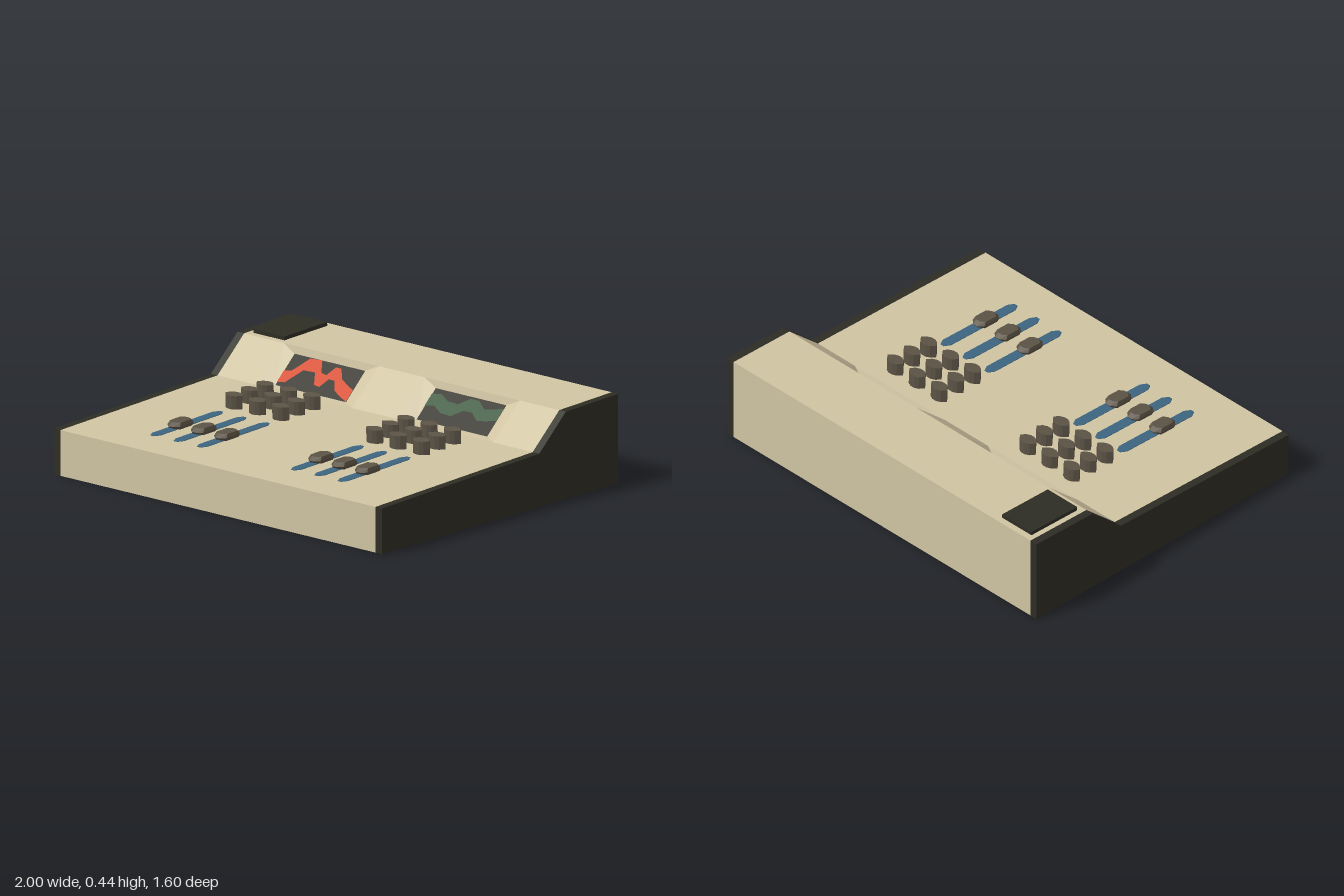
import * as THREE from 'three';
import { ConvexGeometry } from 'three/addons/geometries/ConvexGeometry.js';

const mat = (name, color, side = THREE.FrontSide) => {
  const m = new THREE.MeshStandardMaterial({ color, side, flatShading: true });
  m.name = name;
  return m;
};

// Side profile heights and depths
const FRONT = 0.8, BACK = -0.8, KNEE = -0.265, CREST = -0.445;
const Y_FRONT = 0.215, Y_KNEE = 0.25, Y_CREST = 0.41, Y_BACK = 0.42;
const INNER = 0.96;
const deckY = (z) => Y_FRONT + ((FRONT - z) / (FRONT - KNEE)) * (Y_KNEE - Y_FRONT);
const deckTilt = Math.atan((Y_KNEE - Y_FRONT) / (FRONT - KNEE));
const topTilt = Math.atan((Y_BACK - Y_CREST) / (CREST - BACK));

// Screen bays: outer opening on the slope, inner sunken rectangle
const BAY_X = 0.43, OUT = 0.29, IN = 0.215;
const S_LOW = { y: 0.255, z: -0.307 }, S_HIGH = { y: 0.375, z: -0.437 };

// Counter-clockwise quads to one flat geometry
function quads(list) {
  const pos = [];
  for (const [a, b, c, d] of list) pos.push(...a, ...b, ...c, ...a, ...c, ...d);
  const g = new THREE.BufferGeometry();
  g.setAttribute('position', new THREE.Float32BufferAttribute(pos, 3));
  g.computeVertexNormals();
  return g;
}

// Band spanning x0..x1 between a lower and an upper edge (y, z)
const band = (x0, x1, lo, hi) => [
  [x0, lo[0], lo[1]], [x1, lo[0], lo[1]], [x1, hi[0], hi[1]], [x0, hi[0], hi[1]],
];

function bodyGeometry() {
  const knee = [Y_KNEE, KNEE], crest = [Y_CREST, CREST];
  const list = [
    band(-INNER, INNER, [0, FRONT], [Y_FRONT, FRONT]),
    band(-INNER, INNER, [Y_FRONT, FRONT], knee),
    band(-INNER, INNER, crest, [Y_BACK, BACK]),
    band(-INNER, INNER, [Y_BACK, BACK], [0, BACK]),
    band(-INNER, INNER, [0, BACK], [0, FRONT]),
    band(-INNER, -BAY_X - OUT, knee, crest),
    band(-BAY_X + OUT, BAY_X - OUT, knee, crest),
    band(BAY_X + OUT, INNER, knee, crest),
  ];
  // Four sloping walls around each sunken screen
  for (const cx of [-BAY_X, BAY_X]) {
    const o = [[cx - OUT, ...knee], [cx + OUT, ...knee], [cx + OUT, ...crest], [cx - OUT, ...crest]];
    const i = [
      [cx - IN, S_LOW.y, S_LOW.z], [cx + IN, S_LOW.y, S_LOW.z],
      [cx + IN, S_HIGH.y, S_HIGH.z], [cx - IN, S_HIGH.y, S_HIGH.z],
    ];
    for (let k = 0; k < 4; k++) list.push([o[k], o[(k + 1) % 4], i[(k + 1) % 4], i[k]]);
  }
  return quads(list);
}

// Point on a screen: u across, s up, raised slightly along its normal
function onScreen(cx, u, s, lift) {
  return [
    cx - IN + u * 2 * IN,
    S_LOW.y + s * (S_HIGH.y - S_LOW.y) + lift * 0.73,
    S_LOW.z + s * (S_HIGH.z - S_LOW.z) + lift * 0.68,
  ];
}

// Wavy trace of constant height across a screen
function traceGeometry(cx, points, half) {
  const list = [];
  for (let k = 0; k < points.length - 1; k++) {
    const [[u0, s0], [u1, s1]] = [points[k], points[k + 1]];
    const p = (u, s) => onScreen(cx, u, Math.min(1, Math.max(0, s)), 0.003);
    list.push([p(u0, s0 - half), p(u1, s1 - half), p(u1, s1 + half), p(u0, s0 + half)]);
  }
  return quads(list);
}

// Outline in x/z extruded upwards
function upright(points, height) {
  const shape = new THREE.Shape(points.map(([x, z]) => new THREE.Vector2(x, -z)));
  return new THREE.ExtrudeGeometry(shape, { depth: height, bevelEnabled: false }).rotateX(-Math.PI / 2);
}

// Mirror a quarter outline into points on all four sides
const quarter = (pts) => pts.flatMap(([x, z]) => [[x, z], [-x, z], [-x, -z], [x, -z]]);

export function createModel() {
  const beige = mat('beige casing', 0xd0c4a2);
  const dark = mat('dark trim', 0x2e2d24);
  const brown = mat('brown caps', 0x5c5346);
  const blue = mat('blue tracks', 0x3d6580);
  const red = mat('red trace', 0xd64a26, THREE.DoubleSide);
  const green = mat('green trace', 0x3a5a3e, THREE.DoubleSide);

  const model = new THREE.Group();
  model.name = 'mixingConsole';
  const add = (name, geometry, material, x = 0, y = 0, z = 0, tilt = 0) => {
    const mesh = new THREE.Mesh(geometry, material);
    mesh.name = name;
    mesh.position.set(x, y, z);
    mesh.rotation.x = tilt;
    model.add(mesh);
    return mesh;
  };

  add('casing', bodyGeometry(), beige);

  // Side panels follow the casing profile
  const profile = new THREE.Shape([
    [-FRONT, 0], [-BACK, 0], [-BACK, Y_BACK], [-CREST, Y_CREST], [-KNEE, Y_KNEE], [-FRONT, Y_FRONT],
  ].map(([x, y]) => new THREE.Vector2(x, y)));
  const panel = new THREE.ExtrudeGeometry(profile, { depth: 1 - INNER, bevelEnabled: false }).rotateY(Math.PI / 2);
  add('rightPanel', panel, dark, -1);
  add('leftPanel', panel, dark, INNER);

  // Plate on the rear shelf
  add('rearPlate', new THREE.BoxGeometry(0.19, 0.02, 0.29), dark, -0.838, 0.423, -0.622, topTilt);

  // Screens with their traces
  const redWave = [[0, 0.27], [0.1, 0.32], [0.24, 0.78], [0.4, 0.8], [0.48, 0.45], [0.56, 0.42],
    [0.62, 0.7], [0.7, 0.7], [0.78, 0.42], [0.88, 0.3], [1, 0.18]];
  const greenWave = [[0, 0.62], [0.12, 0.68], [0.25, 0.52], [0.4, 0.5], [0.52, 0.74], [0.64, 0.74],
    [0.76, 0.54], [0.88, 0.6], [1, 0.68]];
  for (const [side, cx, wave, paint] of [['right', -BAY_X, redWave, red], ['left', BAY_X, greenWave, green]]) {
    const corners = [[0, 0], [1, 0], [1, 1], [0, 1]].map(([u, s]) => onScreen(cx, u, s, 0));
    add(side + 'Screen', quads([corners]), dark);
    add(side + 'Trace', traceGeometry(cx, wave, 0.19), paint);
  }

  // Lens-shaped push buttons
  const lens = [];
  for (const [sx, sz] of [[1, 1], [-1, -1]]) {
    lens.push([0.05 * sx, 0], [0.032 * sx, 0.022 * sz], [0.012 * sx, 0.032 * sz],
      [-0.012 * sx, 0.032 * sz], [-0.032 * sx, 0.022 * sz]);
  }
  const button = upright(lens, 0.07);

  // Slider track: low ridge with tapered ends
  const track = new ConvexGeometry([
    ...quarter([[0.028, 0.205], [0.012, 0.235]]).map(([x, z]) => new THREE.Vector3(x, -0.004, z)),
    ...quarter([[0.027, 0.205], [0.01, 0.235]]).map(([x, z]) => new THREE.Vector3(x, 0.002, z)),
    new THREE.Vector3(0, 0.004, 0.225), new THREE.Vector3(0, 0.004, -0.225),
  ]);

  // Slider knob: faceted block, widest in the middle
  const ring = quarter([[0.038, 0.046], [0.013, 0.068]]);
  const knob = new ConvexGeometry([[0, 0.85], [0.014, 1], [0.031, 0.72]].flatMap(([y, k]) =>
    ring.map(([x, z]) => new THREE.Vector3(x * (k + 1) / 2, y, z * k))));

  for (const cx of [-0.43, 0.427]) {
    for (const dx of [-0.142, 0, 0.142]) {
      const x = cx + dx;
      for (const z of [-0.158, -0.053, 0.053]) add('button', button, brown, x, deckY(z) - 0.007, z, deckTilt);
      add('sliderTrack', track, blue, x, deckY(0.375), 0.375, deckTilt);
      add('sliderKnob', knob, brown, x, deckY(0.417) - 0.001, 0.417, deckTilt);
    }
  }
  return model;
}
